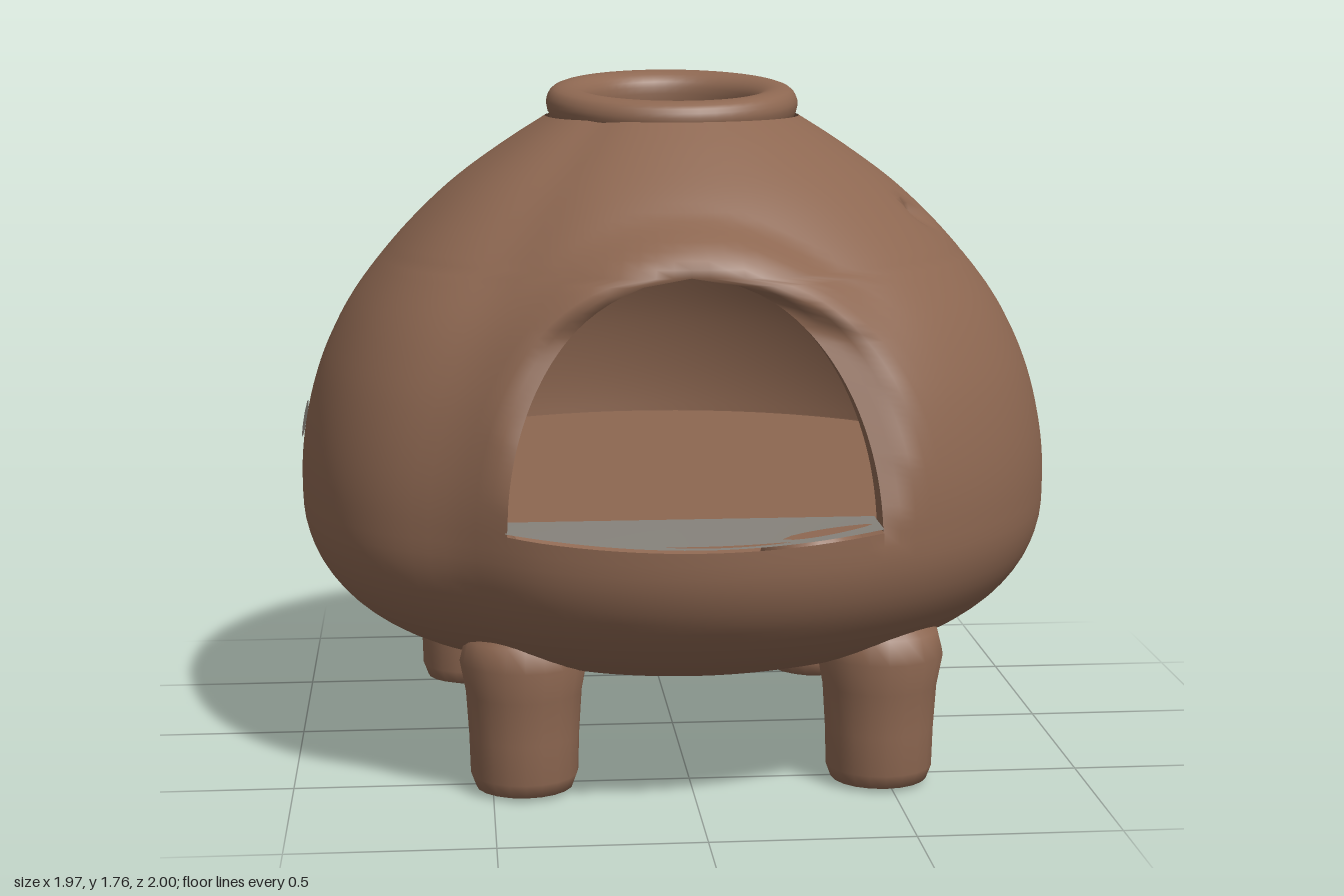
import * as THREE from 'three';
import { mergeGeometries, mergeVertices } from 'three/addons/utils/BufferGeometryUtils.js';
import { ParametricGeometry } from 'three/addons/geometries/ParametricGeometry.js';

const clay = new THREE.MeshStandardMaterial({ color: 0x8d6751, side: THREE.DoubleSide });
clay.name = 'clay';
const ash = new THREE.MeshStandardMaterial({ color: 0x85817a, side: THREE.DoubleSide });
ash.name = 'ashGrey';

const BASE = 0.25, SILL = 0.72, ARCH = 1.32, TOP = 1.66;

// Radius of the dome by height
const heights = [0.25, 0.28, 0.32, 0.36, 0.42, 0.5, 0.6, 0.72, 0.85, 1.0, 1.1, 1.2, 1.3, 1.4, 1.5, 1.6, 1.66];
const radii = [0.38, 0.51, 0.66, 0.76, 0.855, 0.93, 0.975, 0.985, 0.975, 0.94, 0.9, 0.845, 0.77, 0.68, 0.57, 0.43, 0.335];
const profile = new THREE.CubicInterpolant(heights, radii, 1, new Float32Array(1));
const radius = (y) => profile.evaluate(y)[0];

// Uneven hand shaping: angle round the dome, width, amount
const swells = [[-0.66, 0.16, -0.03], [-1.05, 0.25, 0.02], [2.15, 0.4, 0.025]];

// Small dents in the clay: x, y, z, width, depth
const dents = [
  [0.53, 1.53, -0.07, 0.035, 0.08],
  [0.62, 1.41, 0.2, 0.035, 0.08],
  [0.69, 0.83, -0.7, 0.06, 0.035],
  [-0.62, 1.25, -0.5, 0.025, 0.03],
];

// Point on the dome; the front is flattened round the mouth, with a raised hood above it
function domePoint(y, angle, inset, target) {
  const turn = Math.atan2(Math.sin(angle), Math.cos(angle));
  let shaping = 1;
  for (const [at, width, amount] of swells) shaping += amount * Math.exp(-(((turn - at) / width) ** 2));
  const r = (radius(y) - inset) * shaping;
  let x = r * Math.sin(angle), z = r * Math.cos(angle);
  if (z < 0) z *= 1.015;
  z -= 0.025 * THREE.MathUtils.smoothstep(y, 1.1, 1.6);
  if (z > 0 && y >= SILL) {
    const front = Math.max(0.757, 0.872 - 0.25 * (y - SILL)) - inset;
    z = Math.min(z, front);
    const ridge = (y - (1.37 - 1.1 * x * x)) / 0.055;
    if (!inset) z += 0.055 * Math.exp(-(ridge ** 4) - (x / 0.34) ** 4);
  }
  if (!inset) {
    let push = 0;
    for (const [dx, dy, dz, w, d] of dents) {
      push += d * Math.exp(-((x - dx) ** 2 + (y - dy) ** 2 + (z - dz) ** 2) / (w * w));
    }
    x -= (x / r) * push;
    z -= (z / r) * push;
  }
  return target.set(x, y, z);
}

// Angle of the mouth's edge on one side (+1 or -1)
function mouthAngle(y, side, inset) {
  const t = Math.min(1, Math.max(0, (y - SILL) / (ARCH - SILL)));
  const half = 0.45 * Math.sqrt(1 - t * t);
  return Math.asin((side * half - 0.02) / (radius(Math.max(y, SILL)) - inset));
}

function sheet(fn, nu, nv) {
  const g = new ParametricGeometry(fn, nu, nv);
  g.deleteAttribute('normal');
  g.deleteAttribute('uv');
  return g;
}

function weld(parts) {
  const g = mergeVertices(mergeGeometries(parts), 1e-4);
  g.computeVertexNormals();
  return g;
}

// Wall that runs round from one edge of the mouth to the other
function wall(y0, y1, inset, rows, ease = 1) {
  return sheet((u, v, p) => {
    const y = y0 + (y1 - y0) * Math.pow(v, ease);
    const a = mouthAngle(y, 1, inset), b = 2 * Math.PI + mouthAngle(y, -1, inset);
    domePoint(y, a + (b - a) * u, inset, p);
  }, 110, rows);
}

export function createModel() {
  const model = new THREE.Group();
  model.name = 'clayOven';
  const add = (name, geometry, material = clay) => {
    const mesh = new THREE.Mesh(geometry, material);
    mesh.name = name;
    model.add(mesh);
    return mesh;
  };

  // Outer dome, with the lip under the mouth
  const lip = sheet((u, v, p) => {
    const a = mouthAngle(SILL, -1, 0), b = mouthAngle(SILL, 1, 0);
    const y = BASE + (SILL - 1e-5 - BASE) * Math.pow(v, 1.5);
    domePoint(y, a + (b - a) * u, 0, p);
    p.z += 0.018 * v * Math.sin(Math.PI * u);
    p.y -= 0.015 * v ** 4 * Math.sin(Math.PI * u);
  }, 20, 20);
  add('dome', weld([wall(BASE, SILL, 0, 20, 1.5), lip, wall(SILL, TOP, 0, 47)]));

  // Inside of the oven
  const thickness = 0.1;
  add('innerWall', weld([wall(SILL, TOP, thickness, 47)]));
  const outer = new THREE.Vector3(), inner = new THREE.Vector3();
  const reveal = [1, -1].map((side) => sheet((u, v, p) => {
    const y = SILL + (ARCH - SILL) * u;
    domePoint(y, mouthAngle(y, side, 0), 0, outer);
    domePoint(y, mouthAngle(y, side, thickness), thickness, inner);
    p.lerpVectors(outer, inner, v);
  }, 30, 2));
  add('mouthEdge', weld(reveal));
  add('floor', new THREE.CircleGeometry(0.9, 64).rotateX(-Math.PI / 2).translate(0, 0.718, 0));
  add('base', new THREE.CircleGeometry(0.385, 48).rotateX(Math.PI / 2).translate(0, BASE, 0));

  // Ash-covered sill, dipping towards the middle of the lip
  const sillPoint = (x, v, p) => {
    const middle = Math.cos((x + 0.02) * 3.4);
    const edge = Math.sqrt(0.968 - x * x) + 0.016 * middle;
    return p.set(x, 0.73 - 0.018 * v * middle, 0.735 + (edge - 0.735) * v);
  };
  const sill = sheet((u, v, p) => sillPoint(-0.47 + 0.9 * u, v, p), 24, 6);
  add('sill', weld([sill]), ash);

  // Bare clay showing through the ash: start x, length, start depth, slant, width
  const spots = [[0.18, 0.23, 0.84, -0.2, 0.27], [-0.1, 0.3, 0.965, 0, 0.06]];
  for (const [x0, length, v0, slant, size] of spots) {
    const bare = sheet((u, v, p) => {
      const width = size * Math.sqrt(Math.sin(Math.PI * u));
      sillPoint(x0 + length * u, v0 + slant * u + (v - 0.5) * width, p);
      p.y += 0.004;
    }, 10, 2);
    add('bareClaySpot', weld([bare]));
  }

  // Worn patch on the side
  const patch = add('wornPatch', new THREE.CircleGeometry(0.05, 9).scale(1.6, 1, 1), ash);
  const patchAngle = -1.6;
  domePoint(0.86, patchAngle, -0.005, patch.position);
  patch.rotation.set(-0.15, patchAngle, 0, 'YXZ');

  // Tilted chimney collar
  const collar = [
    [0.22, -0.1], [0.215, -0.03], [0.22, 0.02], [0.245, 0.046], [0.28, 0.054],
    [0.315, 0.045], [0.331, 0.018], [0.328, -0.01], [0.322, -0.03], [0.34, -0.07],
  ].map(([r, y]) => new THREE.Vector2(r, y));
  const chimney = add('chimneyCollar', new THREE.LatheGeometry(new THREE.SplineCurve(collar).getPoints(24), 48));
  chimney.position.set(0, 1.685, -0.02);
  chimney.rotation.x = 0.1;

  // Stubby legs, their narrowing tops buried in the belly
  const legProfile = [
    [0.001, 0.005], [0.09, 0.005], [0.122, 0.015], [0.135, 0.05], [0.138, 0.15],
    [0.145, 0.26], [0.16, 0.34], [0.145, 0.4], [0.08, 0.47], [0.001, 0.5],
  ].map(([r, y]) => new THREE.Vector2(r, y));
  const legGeometry = new THREE.LatheGeometry(legProfile, 20);
  const legs = { frontRightLeg: [-0.42, 0.54], frontLeftLeg: [0.48, 0.54], backRightLeg: [-0.545, -0.535], backLeftLeg: [0.46, -0.535] };
  for (const [name, [x, z]] of Object.entries(legs)) add(name, legGeometry).position.set(x, 0, z);

  return model;
}
